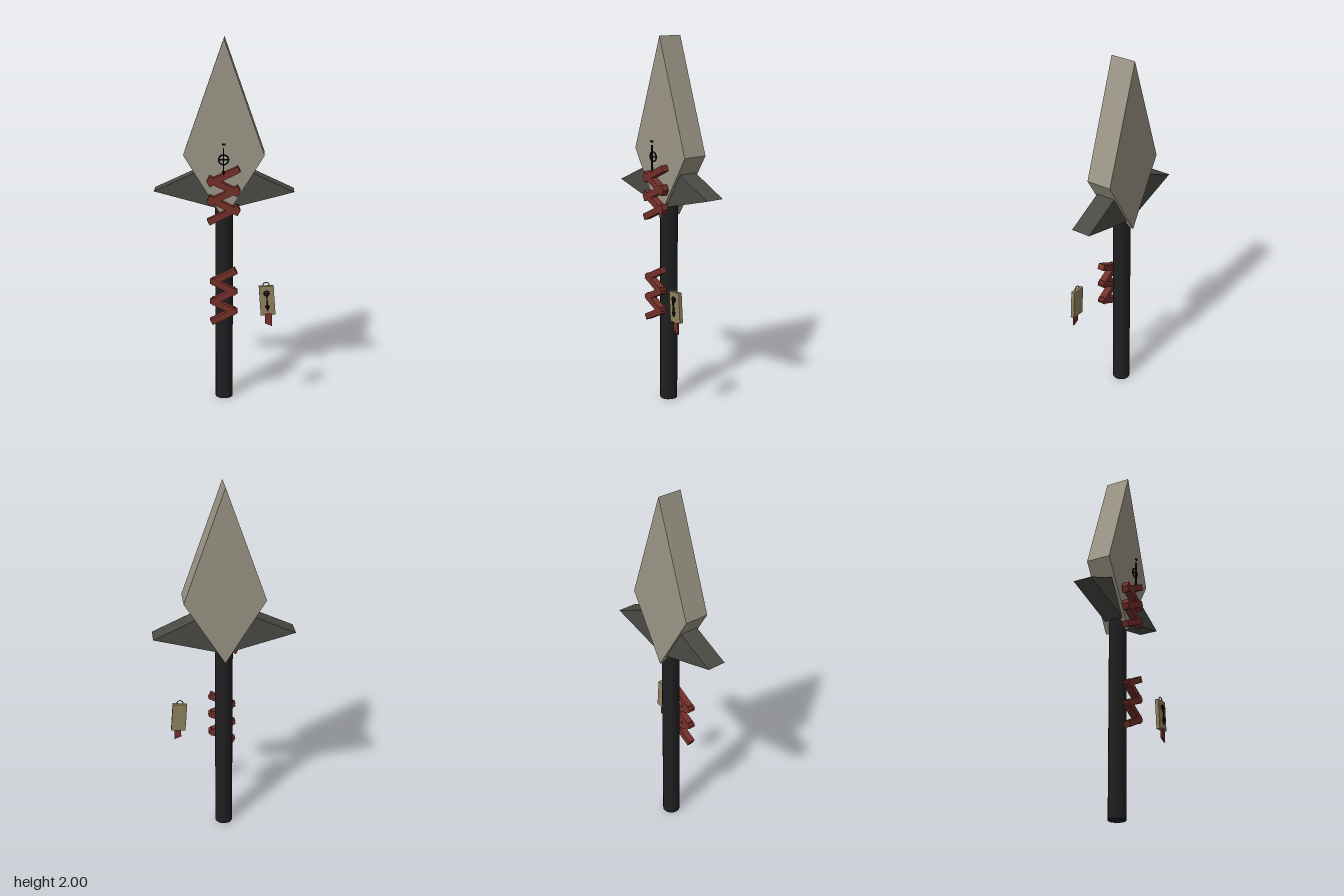
import * as THREE from 'three';

const material = (name, color) => {
  const m = new THREE.MeshStandardMaterial({ color });
  m.name = name;
  return m;
};

export function createModel() {
  const root = new THREE.Group();
  root.name = 'spear';
  const stone = material('stone', 0x9b9586);
  const darkStone = material('dark stone', 0x4a4a45);
  const wood = material('black wood', 0x1f1f1f);
  const red = material('red cord', 0x74302a);
  const tan = material('tan tag', 0x8f825d);
  const ink = material('black ink', 0x0c0c0c);

  const add = (parent, name, geometry, mat, x = 0, y = 0, z = 0, tilt = 0) => {
    const mesh = new THREE.Mesh(geometry, mat);
    mesh.name = name;
    mesh.position.set(x, y, z);
    mesh.rotation.z = tilt;
    parent.add(mesh);
    return mesh;
  };
  const group = (name, parent = root) => {
    const g = new THREE.Group();
    g.name = name;
    parent.add(g);
    return g;
  };
  // Flat outline given thickness along z
  const slab = (points, depth) => new THREE.ExtrudeGeometry(
    new THREE.Shape(points.map(([x, y]) => new THREE.Vector2(x, y))),
    { depth, bevelEnabled: false });
  const box = (w, h, d) => new THREE.BoxGeometry(w, h, d);

  // Shaft, blade and cross guard
  add(root, 'shaft', new THREE.CylinderGeometry(0.048, 0.048, 1.1, 16), wood, 0, 0.55, -0.048);
  add(root, 'blade', slab([[0, 1.04], [0.215, 1.39], [0, 2], [-0.215, 1.39]], 0.137), stone, 0, 0, -0.12);
  add(root, 'guard', slab([[0, 1.09], [0.375, 1.19], [0, 1.364], [-0.375, 1.19]], 0.105), darkStone, 0, 0, -0.105);

  // Zigzag cord bindings on the front
  const binding = (name, top, step, length, angle) => {
    const g = group(name);
    for (let i = 0; i < 5; i++) {
      add(g, 'cord', box(length, 0.034, 0.038), red, 0, top - i * step, 0.043, i % 2 ? -angle : angle);
    }
  };
  binding('shaftBinding', 0.732, 0.056, 0.15, 0.48);
  binding('bladeBinding', 1.283, 0.052, 0.183, 0.46);

  // Ringed cross emblem in front of the blade
  const emblem = group('emblem');
  emblem.position.set(0, 1.375, 0.058);
  add(emblem, 'ring', new THREE.TorusGeometry(0.026, 0.004, 6, 20), ink);
  add(emblem, 'crossBar', box(0.06, 0.006, 0.006), ink);
  add(emblem, 'stem', box(0.006, 0.135, 0.008), ink, 0, -0.005, 0.007);
  add(emblem, 'topDot', box(0.018, 0.009, 0.008), ink, 0, 0.082, 0.009);
  add(emblem, 'point', new THREE.ConeGeometry(0.009, 0.025, 4), ink, 0, -0.072, 0.006, Math.PI);

  // Hanging tag with loop, ribbon and arrow mark
  const tag = group('tag');
  tag.position.set(0.235, 0.613, 0.087);
  tag.rotation.z = 0.075;
  add(tag, 'tagPlate', box(0.08, 0.163, 0.02), tan);
  add(tag, 'tagLoop', new THREE.TorusGeometry(0.017, 0.003, 6, 16), tan, 0, 0.085, 0.003);
  add(tag, 'ribbon', slab([[-0.02, -0.07], [-0.025, -0.128], [0.013, -0.146], [0.016, -0.07]], 0.008), red, 0.005, 0, 0.002);
  add(tag, 'arrowRing', new THREE.TorusGeometry(0.013, 0.0035, 6, 16), ink, 0, 0.042, 0.014);
  add(tag, 'arrowBar', box(0.03, 0.005, 0.005), ink, 0, 0.042, 0.013);
  add(tag, 'arrowStem', box(0.007, 0.09, 0.007), ink, 0, 0, 0.018);
  add(tag, 'arrowHead', new THREE.ConeGeometry(0.013, 0.03, 4), ink, 0, -0.042, 0.017, Math.PI);

  return root;
}
